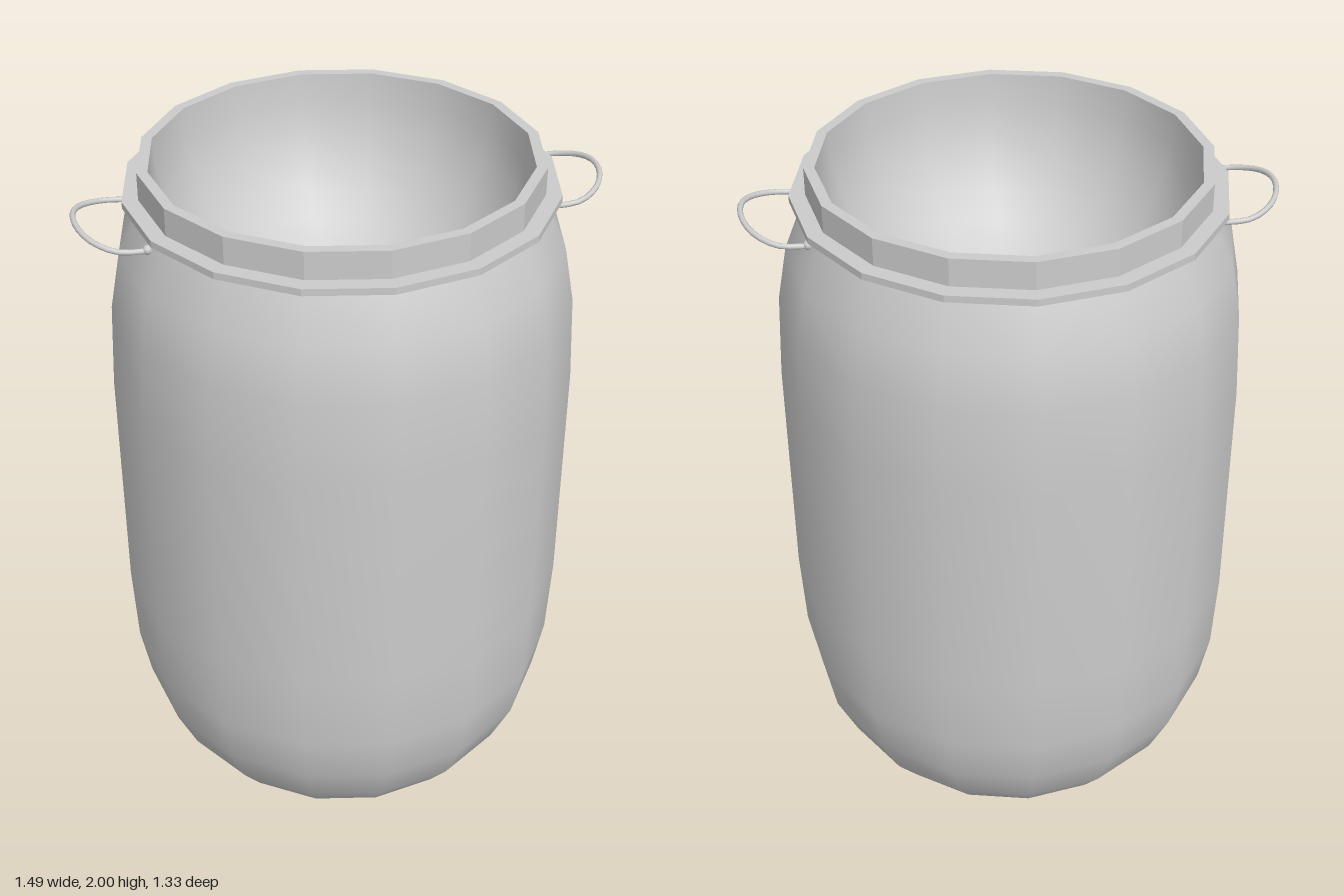
import * as THREE from 'three';

const SIDES = 16;
const smooth = new THREE.MeshStandardMaterial({ color: 0xcccccc });
const faceted = new THREE.MeshStandardMaterial({ color: 0xcccccc, flatShading: true });

// Revolve a list of [radius, height] pairs
function turned(name, profile, material) {
  const points = profile.map(([r, y]) => new THREE.Vector2(r, y));
  const mesh = new THREE.Mesh(new THREE.LatheGeometry(points, SIDES), material);
  mesh.name = name;
  return mesh;
}

// Bent wire carrying handle on the +x side, with a small knob at each end
function createHandle(name) {
  const handle = new THREE.Group();
  handle.name = name;
  const half = [[0.55, 1.846, 0.15], [0.64, 1.853, 0.15], [0.7, 1.868, 0.11], [0.73, 1.881, 0.055]];
  const path = [
    ...half,
    [0.738, 1.885, 0],
    ...half.map(([x, y, z]) => [x, y, -z]).reverse(),
  ].map((p) => new THREE.Vector3(...p));
  const curve = new THREE.CatmullRomCurve3(path);
  const wire = new THREE.Mesh(new THREE.TubeGeometry(curve, 20, 0.008, 8), smooth);
  wire.name = 'handleWire';
  handle.add(wire);
  for (const s of [-1, 1]) {
    const knob = new THREE.Mesh(new THREE.SphereGeometry(0.014, 8, 6), smooth);
    knob.name = 'handleKnob';
    knob.position.set(0.56, 1.85, s * 0.15);
    handle.add(knob);
  }
  return handle;
}

export function createModel() {
  const barrel = new THREE.Group();
  barrel.name = 'barrel';

  // Bulging wall, symmetric about mid height apart from the narrower foot
  barrel.add(turned('body', [
    [0.485, 0], [0.562, 0.1], [0.625, 0.24], [0.655, 0.4], [0.667, 0.65],
    [0.667, 1.35], [0.655, 1.6], [0.625, 1.76], [0.56, 1.9],
  ], smooth));

  // Flat base
  barrel.add(turned('base', [[0, 0], [0.485, 0]], faceted));

  // Projecting ring under the neck
  barrel.add(turned('flange', [
    [0.55, 1.9], [0.605, 1.9], [0.605, 1.92], [0.55, 1.92],
  ], faceted));

  // Straight neck with a flat lip
  barrel.add(turned('neck', [[0.56, 1.91], [0.56, 2], [0.53, 2]], faceted));

  // Rounded hollow inside the mouth
  const hollow = [];
  for (let i = 0; i <= 10; i++) {
    const a = (i / 10) * Math.PI / 2;
    hollow.push([i === 10 ? 0 : 0.53 * Math.cos(a), 2 - 0.55 * Math.sin(a)]);
  }
  barrel.add(turned('hollow', hollow, smooth));

  // Handles on both sides
  const left = createHandle('leftHandle');
  const right = createHandle('rightHandle');
  right.rotation.y = Math.PI;
  barrel.add(left, right);

  return barrel;
}
